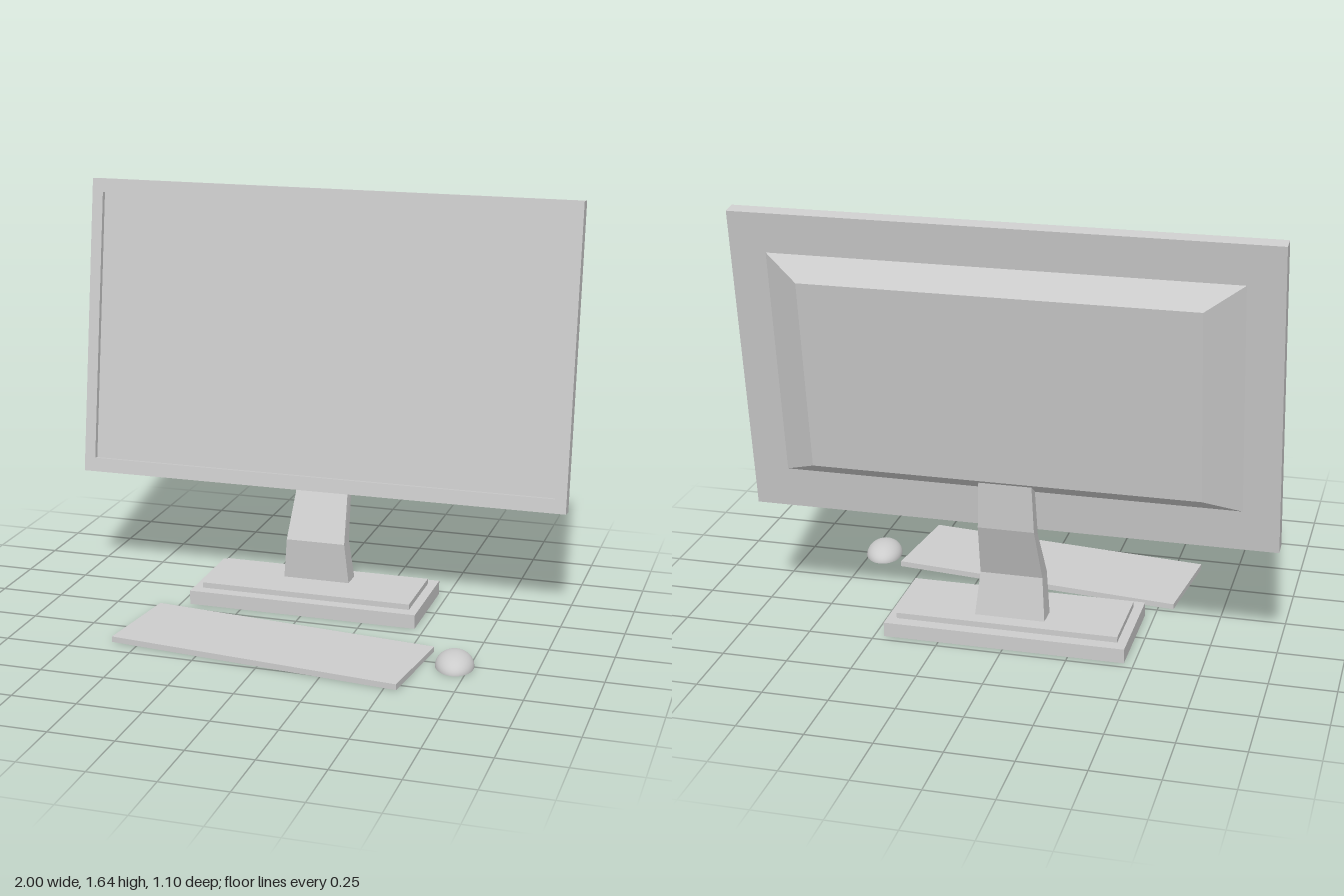
import * as THREE from 'three';

const material = new THREE.MeshStandardMaterial({ color: 0xcccccc, side: THREE.DoubleSide });

// Loft through rectangular rings. Each ring: [half width, yA, zA, yB, zB],
// where A is the lower/front edge and B the upper/back edge.
function loft(rings, { startCap = false, endCap = false } = {}) {
  const corners = rings.map(([hx, yA, zA, yB, zB]) => [
    [-hx, yA, zA], [hx, yA, zA], [hx, yB, zB], [-hx, yB, zB],
  ]);
  const positions = [];
  const quad = (a, b, c, d) => positions.push(...a, ...b, ...c, ...a, ...c, ...d);
  for (let r = 0; r < corners.length - 1; r++) {
    const p = corners[r], q = corners[r + 1];
    for (let i = 0; i < 4; i++) {
      const j = (i + 1) % 4;
      quad(p[i], p[j], q[j], q[i]);
    }
  }
  if (startCap) quad(...[...corners[0]].reverse());
  if (endCap) quad(...corners[corners.length - 1]);
  const geometry = new THREE.BufferGeometry();
  geometry.setAttribute('position', new THREE.Float32BufferAttribute(positions, 3));
  geometry.computeVertexNormals();
  return geometry;
}

// Upright rectangle at depth z, and level rectangle at height y
const upright = (hx, y0, y1, z) => [hx, y0, z, y1, z];
const level = (hx, zFront, zBack, y) => [hx, y, zFront, y, zBack];

function addMesh(parent, name, geometry) {
  const mesh = new THREE.Mesh(geometry, material);
  mesh.name = name;
  parent.add(mesh);
  return mesh;
}

function createDisplay() {
  // Origin at the lower front edge, leaning backwards
  const display = new THREE.Group();
  display.name = 'display';
  display.position.set(0, 0.45, -0.275);
  display.rotation.x = -0.14;

  // Casing with the recess lip folded in at the front
  addMesh(display, 'bezel', loft([
    upright(1, 0, 1.2, -0.058),
    upright(1, 0, 1.2, 0),
    upright(0.955, 0.056, 1.146, 0),
    upright(0.955, 0.056, 1.146, -0.022),
  ], { startCap: true }));

  const screen = addMesh(display, 'screen', new THREE.PlaneGeometry(1.91, 1.09));
  screen.position.set(0, 0.601, -0.022);

  // Bevelled housing on the back
  addMesh(display, 'rearHousing', loft([
    upright(0.73, 0.232, 0.974, -0.14),
    upright(0.865, 0.16, 1.048, -0.058),
  ], { startCap: true }));
  return display;
}

function createStand() {
  const stand = new THREE.Group();
  stand.name = 'stand';

  // Stepped foot, hollow underneath, open where the neck joins
  const neckFoot = level(0.135, -0.275, -0.36, 0.078);
  addMesh(stand, 'foot', loft([
    level(0.463, -0.06, -0.47, 0),
    level(0.463, -0.06, -0.47, 0.056),
    level(0.427, -0.11, -0.42, 0.056),
    level(0.427, -0.11, -0.42, 0.078),
    neckFoot,
  ]));

  // Bent, tapering neck
  addMesh(stand, 'neck', loft([
    neckFoot,
    level(0.12, -0.26, -0.33, 0.243),
    [0.107, 0.43, -0.35, 0.46, -0.41],
    [0.1, 0.61, -0.368, 0.65, -0.421],
  ], { endCap: true }));
  return stand;
}

export function createModel() {
  const model = new THREE.Group();
  model.name = 'desktopMonitorSet';
  model.add(createDisplay(), createStand());

  // Thin keyboard slab, open underneath
  const keyboard = addMesh(model, 'keyboard', loft([
    level(0.579, 0.199, -0.199, 0),
    level(0.579, 0.199, -0.199, 0.022),
  ], { endCap: true }));
  keyboard.position.set(-0.007, 0, 0.283);
  keyboard.rotation.y = -0.1125;

  // Domed mouse, open underneath
  const dome = new THREE.SphereGeometry(1, 32, 12, 0, Math.PI * 2, 0, Math.PI / 2);
  dome.scale(0.073, 0.055, 0.105);
  const mouse = addMesh(model, 'mouse', dome);
  mouse.position.set(0.695, 0, 0.257);
  mouse.rotation.y = 0.2;

  return model;
}
